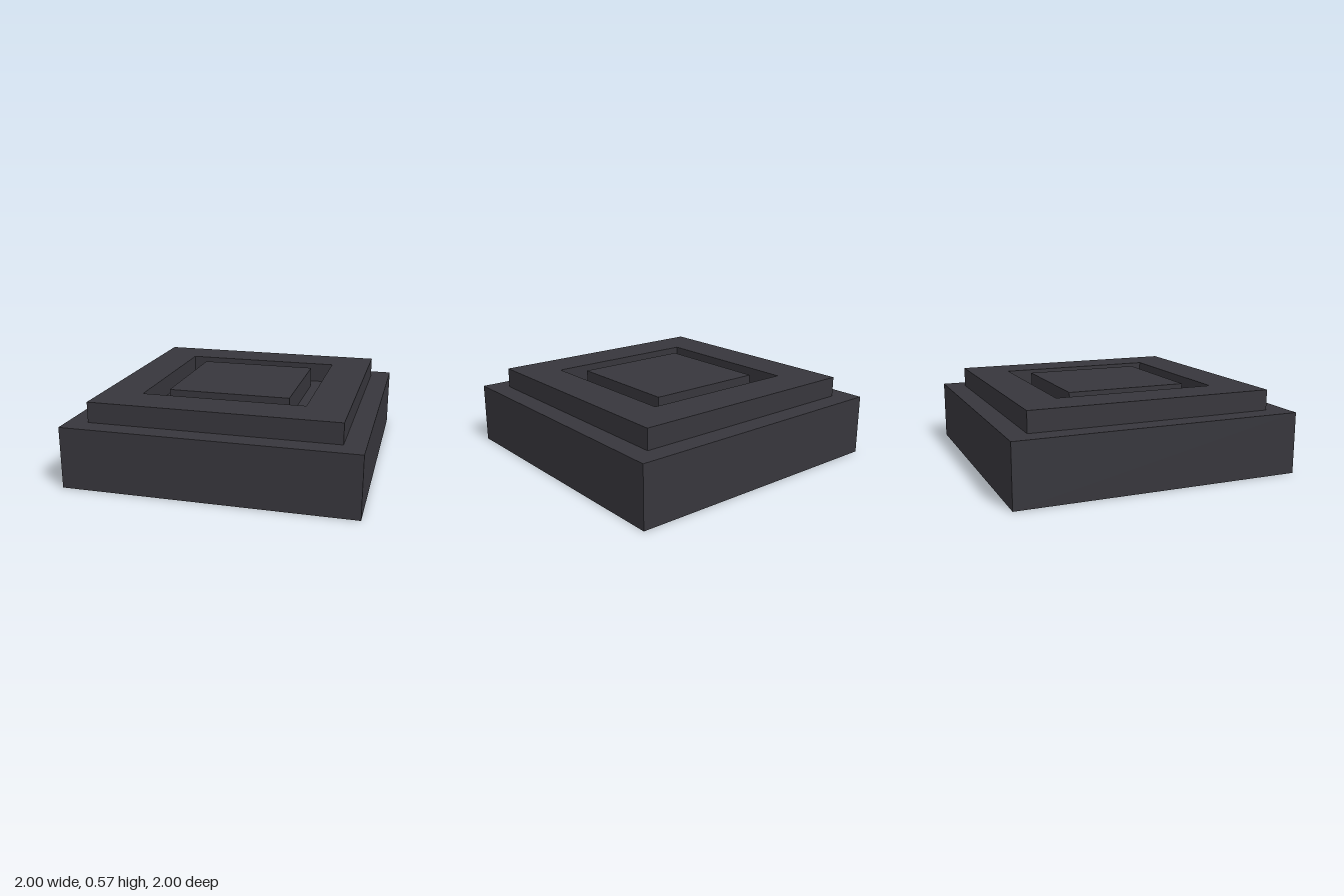
import * as THREE from 'three';

const U = 1 / 7; // modelling unit: the base is 14 units wide

export function createModel() {
  const model = new THREE.Group();
  model.name = 'steppedBlock';
  const charcoal = new THREE.MeshStandardMaterial({ color: 0x37363c });
  charcoal.name = 'charcoal';

  const add = (name, geometry, y) => {
    const mesh = new THREE.Mesh(geometry, charcoal);
    mesh.name = name;
    mesh.position.y = y;
    model.add(mesh);
  };

  // Trace a centred square on a shape or hole path
  const square = (path, half) => {
    path.moveTo(-half, -half);
    path.lineTo(half, -half);
    path.lineTo(half, half);
    path.lineTo(-half, half);
    path.closePath();
    return path;
  };

  // Solid base slab
  add('base', new THREE.BoxGeometry(14 * U, 3 * U, 14 * U), 1.5 * U);

  // Raised square frame with an open middle
  const outline = square(new THREE.Shape(), 6 * U);
  outline.holes.push(square(new THREE.Path(), 4 * U));
  const frame = new THREE.ExtrudeGeometry(outline, { depth: U, bevelEnabled: false });
  frame.rotateX(-Math.PI / 2);
  add('raisedFrame', frame, 3 * U);

  // Centre block, level with the frame
  add('centreBlock', new THREE.BoxGeometry(6 * U, U, 6 * U), 3.5 * U);

  return model;
}
